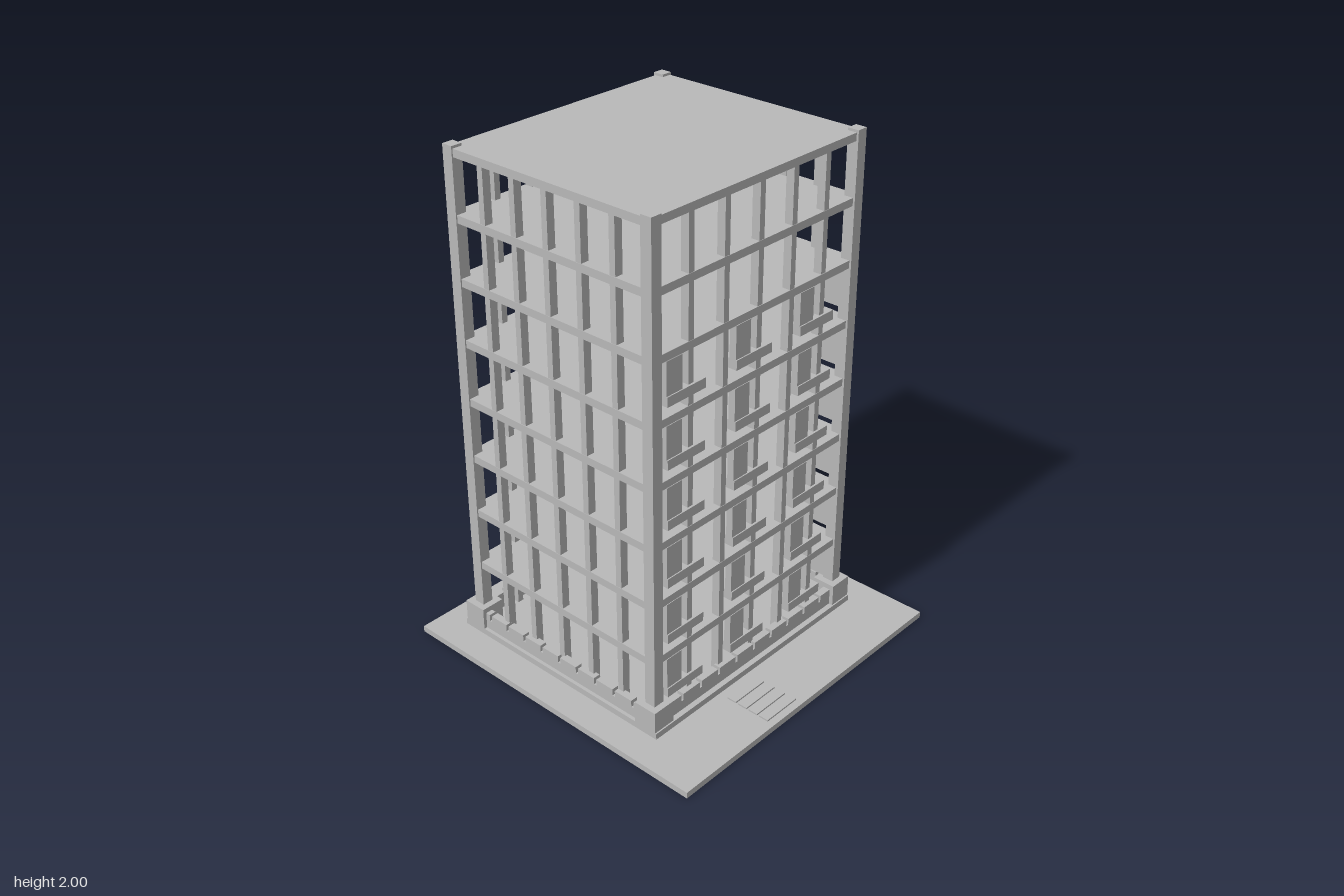
import * as THREE from 'three';

export function createModel() {
  const model = new THREE.Group();
  const concrete = new THREE.MeshStandardMaterial({ color: 0xb8b8b8 });
  concrete.name = 'concreteGrey';

  // Box given by its minimum and maximum on each axis
  function block(parent, name, x0, x1, y0, y1, z0, z1) {
    const mesh = new THREE.Mesh(new THREE.BoxGeometry(x1 - x0, y1 - y0, z1 - z0), concrete);
    mesh.position.set((x0 + x1) / 2, (y0 + y1) / 2, (z0 + z1) / 2);
    mesh.name = name;
    parent.add(mesh);
  }
  function group(name, parent = model) {
    const g = new THREE.Group();
    g.name = name;
    parent.add(g);
    return g;
  }

  const storey = 0.2365;
  const floorTop = (k) => 0.0985 + storey * k;
  const zMid = -0.0745;

  // Ground plate, entrance steps and plinth
  block(model, 'groundPlate', -0.69, 0.69, 0, 0.025, -0.69, 0.69);
  const steps = group('entranceSteps');
  for (let i = 0; i < 4; i++) {
    const z = 0.47 + i * 0.05;
    block(steps, 'step', -0.222, -0.06, 0.025, 0.031, z, z + 0.04);
  }
  block(model, 'plinth', -0.563, 0.563, 0.025, 0.05, -0.58, 0.43);

  // The tower is built around its own centre in z
  const tower = group('tower');
  tower.position.z = zMid;
  const W = 0.532, D = 0.4655;

  // Corner columns and their footings
  for (const sx of [-1, 1]) for (const sz of [-1, 1]) {
    const span = (s, a, b) => (s > 0 ? [a, b] : [-b, -a]);
    block(tower, 'cornerFooting', ...span(sx, 0.465, 0.563), 0.05, 0.138, ...span(sz, 0.402, 0.499));
    block(tower, 'cornerColumn', ...span(sx, 0.492, 0.537), 0.138, 2, ...span(sz, 0.428, 0.4735));
  }

  // Floor slabs and roof
  for (let k = 1; k <= 8; k++) {
    block(tower, k === 8 ? 'roofSlab' : 'floorSlab', -W, W, floorTop(k) - 0.03, floorTop(k), -D, D);
  }

  // Mullions, one row of five on every side and storey
  const mullions = group('mullions', tower);
  for (let k = 0; k < 8; k++) {
    const y0 = k ? floorTop(k) : 0.05, y1 = floorTop(k + 1) - 0.03;
    for (let i = -2; i <= 2; i++) {
      for (const s of [-1, 1]) {
        const x = i * 0.172, z = i * 0.1505;
        const a = s * (D - 0.018), b = s * (W - 0.018);
        block(mullions, 'mullion', x - 0.0125, x + 0.0125, y0, y1, a - 0.0165, a + 0.0165);
        block(mullions, 'sideMullion', b - 0.0165, b + 0.0165, y0, y1, z - 0.0125, z + 0.0125);
      }
    }
  }

  // Notched wall round the foot: continuous kerb with separate blocks on top
  const wall = group('baseWall', tower);
  for (const s of [-1, 1]) {
    const z = s * (D + 0.002), x = s * (W + 0.002);
    block(wall, 'kerb', -0.465, 0.465, 0.05, 0.09, z - 0.015, z + 0.015);
    block(wall, 'sideKerb', x - 0.015, x + 0.015, 0.05, 0.09, -0.402, 0.402);
    for (let i = 0; i < 10; i++) {
      const clip = (v, m) => Math.max(-m, Math.min(m, v));
      const cx = (i - 4.5) * 0.1, cz = (i - 4.5) * 0.094;
      block(wall, 'wallBlock', clip(cx - 0.044, 0.465), clip(cx + 0.044, 0.465), 0.09, 0.117, z - 0.015, z + 0.015);
      block(wall, 'sideWallBlock', x - 0.015, x + 0.015, 0.09, 0.117, clip(cz - 0.041, 0.402), clip(cz + 0.041, 0.402));
    }
  }

  // Closed panels on the left side and L-shaped balconies on the front
  for (let k = 0; k < 6; k++) {
    const y = floorTop(k);
    block(tower, 'sidePanel', 0.5, 0.537, y + 0.041, y + 0.186, -0.428, 0.428);
    for (const x of [-0.465, -0.124, 0.217]) {
      const balcony = group('balcony', tower);
      block(balcony, 'balconyPanel', x, x + 0.075, y + 0.041, y + 0.2065, 0.44, 0.468);
      block(balcony, 'balconyLedge', x, x + 0.185, y + 0.041, y + 0.079, 0.405, 0.4725);
    }
  }
  return model;
}
